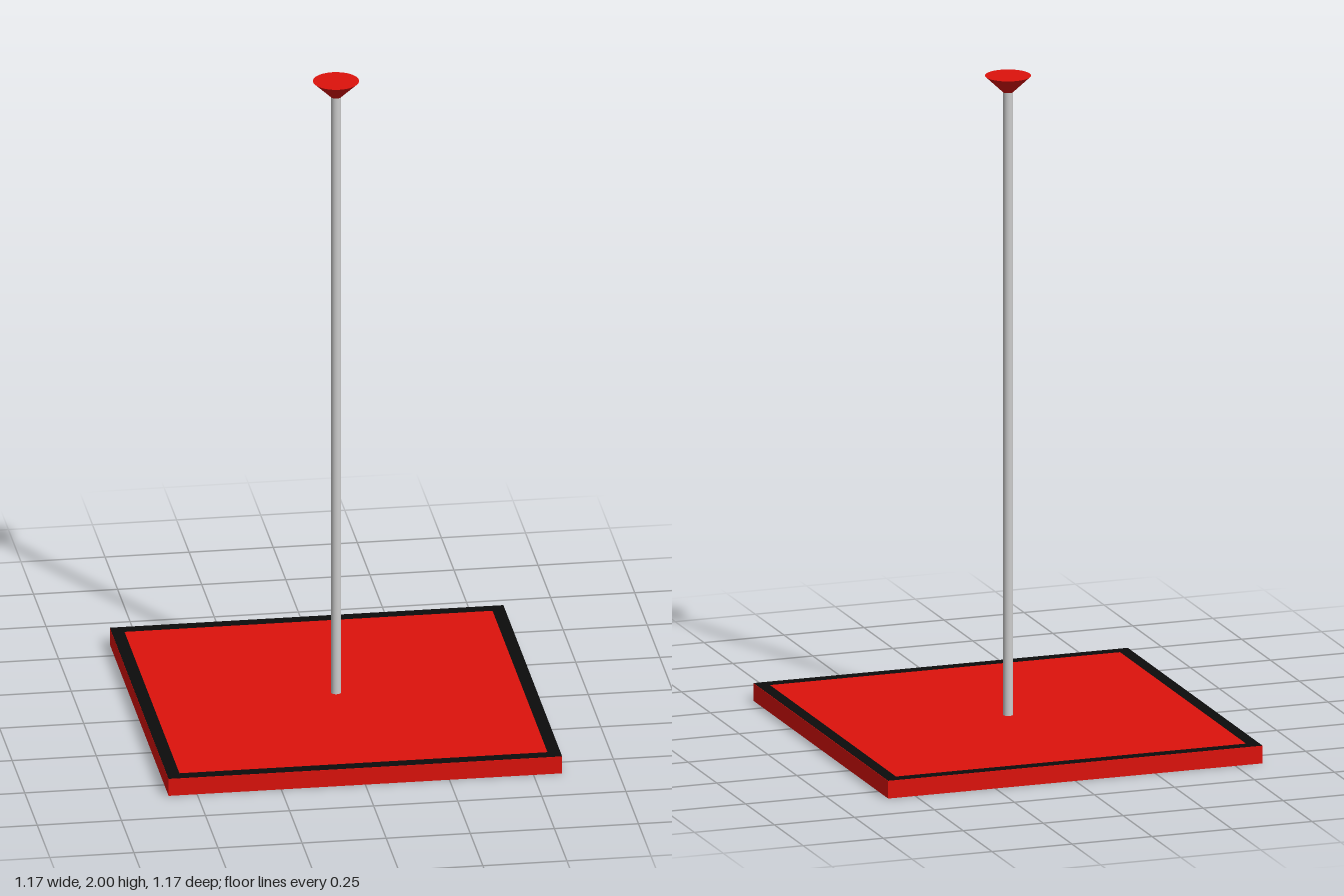
import * as THREE from 'three';

const RED = 0xdd120c, BLACK = 0x0c0c0c, GREY = 0xcccccc;
const BASE = 1.17, BASE_H = 0.053, INNER = 1.094;

function addPart(group, name, geometry, color, y) {
  const mesh = new THREE.Mesh(geometry, new THREE.MeshStandardMaterial({ color }));
  mesh.name = name;
  mesh.position.y = y;
  group.add(mesh);
  return mesh;
}

// Corners of a centred square
function squarePoints(size) {
  const h = size / 2;
  return [[-h, -h], [h, -h], [h, h], [-h, h]].map(([x, y]) => new THREE.Vector2(x, y));
}

export function createModel() {
  const group = new THREE.Group();

  // Square base plate
  addPart(group, 'basePlate', new THREE.BoxGeometry(BASE, BASE_H, BASE), RED, BASE_H / 2);

  // Black border lying on the rim of the plate
  const border = new THREE.Shape(squarePoints(BASE));
  border.holes.push(new THREE.Path(squarePoints(INNER)));
  const borderGeometry = new THREE.ShapeGeometry(border).rotateX(-Math.PI / 2);
  addPart(group, 'baseBorder', borderGeometry, BLACK, BASE_H + 0.001);

  // Slim upright pole
  const poleTop = 1.96;
  addPart(group, 'pole', new THREE.CylinderGeometry(0.015, 0.015, poleTop - BASE_H, 32),
    GREY, (poleTop + BASE_H) / 2);

  // Flared cap with a flat top
  addPart(group, 'flaredCap', new THREE.CylinderGeometry(0.068, 0.015, 0.05, 48), RED, 1.975);

  return group;
}
